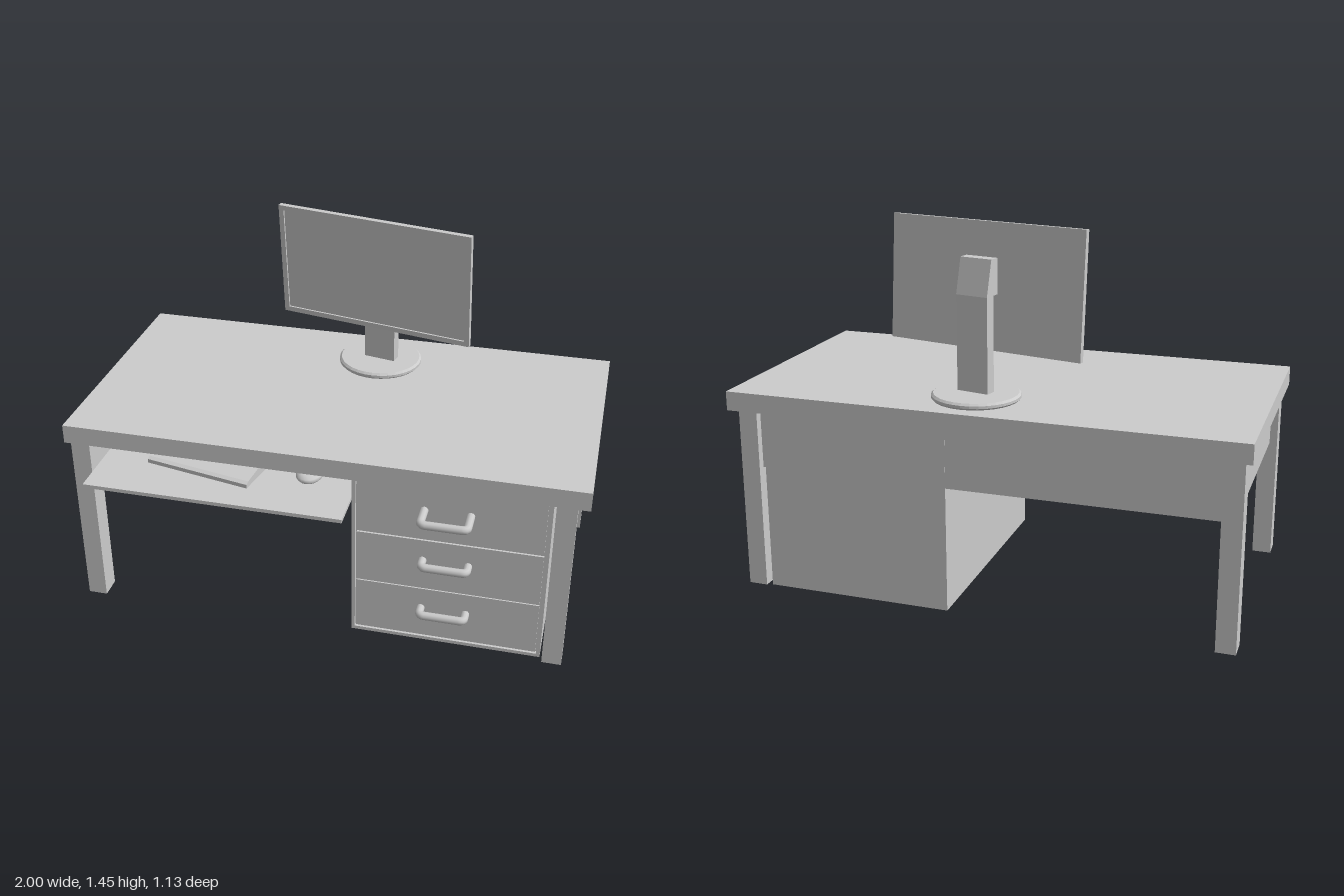
import * as THREE from 'three';

const material = new THREE.MeshStandardMaterial({ color: 0xcccccc, flatShading: true });
const smooth = new THREE.MeshStandardMaterial({ color: 0xcccccc });

function add(parent, name, geometry, mat = material) {
  const mesh = new THREE.Mesh(geometry, mat);
  mesh.name = name;
  parent.add(mesh);
  return mesh;
}

// Box given by its limits on each axis
function block(parent, name, [x0, x1], [y0, y1], [z0, z1]) {
  const mesh = add(parent, name, new THREE.BoxGeometry(x1 - x0, y1 - y0, z1 - z0));
  mesh.position.set((x0 + x1) / 2, (y0 + y1) / 2, (z0 + z1) / 2);
  return mesh;
}

// Rectangular frame in the xy plane, extruded along +z
function frameGeometry(w, h, border, depth) {
  const rect = (path, a, b) => path.moveTo(-a, -b).lineTo(a, -b).lineTo(a, b).lineTo(-a, b).closePath();
  const shape = rect(new THREE.Shape(), w / 2, h / 2);
  shape.holes.push(rect(new THREE.Path(), w / 2 - border, h / 2 - border));
  return new THREE.ExtrudeGeometry(shape, { depth, bevelEnabled: false });
}

// Profile in (z, y), extruded symmetrically across x
function sideProfile(points, width) {
  const shape = new THREE.Shape(points.map(([z, y]) => new THREE.Vector2(z, y)));
  const geometry = new THREE.ExtrudeGeometry(shape, { depth: width, bevelEnabled: false });
  return geometry.translate(0, 0, -width / 2).rotateY(-Math.PI / 2);
}

// Rounded pull bar with two posts
function drawerHandle(parent, y, backZ, barZ) {
  const a = 0.087, r = 0.02;
  const v = (x, z) => new THREE.Vector3(0.487 + x, y, z);
  const path = new THREE.CurvePath();
  path.add(new THREE.LineCurve3(v(-a, backZ), v(-a, barZ - r)));
  path.add(new THREE.QuadraticBezierCurve3(v(-a, barZ - r), v(-a, barZ), v(-a + r, barZ)));
  path.add(new THREE.LineCurve3(v(-a + r, barZ), v(a - r, barZ)));
  path.add(new THREE.QuadraticBezierCurve3(v(a - r, barZ), v(a, barZ), v(a, barZ - r)));
  path.add(new THREE.LineCurve3(v(a, barZ - r), v(a, backZ)));
  add(parent, 'drawerHandle', new THREE.TubeGeometry(path, 48, 0.016, 10), smooth);
}

function createDesk() {
  const desk = new THREE.Group();
  desk.name = 'desk';
  block(desk, 'desktop', [-1, 1], [0.725, 0.8], [-0.565, 0.47]);
  for (const x of [-0.975, 0.88]) {
    for (const z of [-0.555, 0.38]) {
      block(desk, 'leg', [x, x + 0.075], [0.01, 0.725], [z, z + 0.085]);
    }
  }
  block(desk, 'sideApron', [-0.945, -0.905], [0.495, 0.725], [-0.47, 0.38]);
  block(desk, 'sideApron', [0.885, 0.925], [0.495, 0.725], [-0.47, 0.38]);
  block(desk, 'backApron', [-0.9, 0.88], [0.495, 0.725], [-0.526, -0.49]);
  block(desk, 'keyboardTray', [-0.895, 0.12], [0.595, 0.61], [-0.25, 0.565]);
  return desk;
}

function createCabinet() {
  const cabinet = new THREE.Group();
  cabinet.name = 'drawerCabinet';
  block(cabinet, 'cabinetBody', [0.125, 0.87], [0, 0.725], [-0.527, 0.412]);
  add(cabinet, 'cabinetFrame', frameGeometry(0.745, 0.725, 0.014, 0.016)).position.set(0.4975, 0.3625, 0.411);
  // Top drawer pull stands further out
  [0.152, 0.378, 0.605].forEach((y, i) => {
    block(cabinet, 'drawerFront', [0.144, 0.851], [y - 0.132 + i * 0.0005, y + 0.09], [0.405, 0.424]);
    drawerHandle(cabinet, y, 0.42, i === 2 ? 0.52 : 0.472);
  });
  return cabinet;
}

function createMonitor() {
  const monitor = new THREE.Group();
  monitor.name = 'monitor';

  // Round foot with a softened rim
  const profile = [[0, 0], [0.163, 0], [0.17, 0.007], [0.17, 0.017], [0.162, 0.025], [0, 0.025]];
  const foot = add(monitor, 'standFoot',
    new THREE.LatheGeometry(profile.map(([r, y]) => new THREE.Vector2(r, y)), 32));
  foot.position.set(0.065, 0.8, -0.345);

  // Column with a head reaching forward to the panel
  const column = add(monitor, 'standColumn', sideProfile([
    [-0.045, 0.82], [0, 0.82], [0, 1.19], [0.03, 1.19],
    [0.03, 1.325], [-0.012, 1.325], [-0.045, 1.19],
  ], 0.132));
  column.position.set(0.065, 0, -0.318);
  column.rotation.y = -0.205;

  // Tilted panel with raised bezel
  const panel = new THREE.Group();
  panel.name = 'panel';
  panel.rotation.set(0.073, -0.205, 0, 'YXZ');
  panel.position.set(0.048, 1.215, -0.28);
  add(panel, 'screen', new THREE.BoxGeometry(0.82, 0.476, 0.014)).position.z = -0.003;
  add(panel, 'bezel', frameGeometry(0.82, 0.476, 0.021, 0.008)).position.z = 0.003;
  monitor.add(panel);
  return monitor;
}

function createAccessories() {
  const accessories = new THREE.Group();
  accessories.name = 'accessories';

  // Wedge keyboard, higher at the back
  const keyboard = add(accessories, 'keyboard', sideProfile([
    [-0.1, 0], [0.1, 0], [0.1, 0.016], [0.085, 0.023], [-0.088, 0.05], [-0.1, 0.045],
  ], 0.44));
  keyboard.position.set(-0.475, 0.61, 0.305);
  keyboard.rotation.y = -0.2;

  // Low domed mouse
  const dome = [[0.05, 0], [0.055, 0.008], [0.053, 0.02], [0.04, 0.03], [0, 0.035]];
  const mouse = add(accessories, 'mouse',
    new THREE.LatheGeometry(dome.map(([r, y]) => new THREE.Vector2(r, y)), 20), smooth);
  mouse.scale.z = 1.5;
  mouse.position.set(-0.07, 0.61, 0.29);
  return accessories;
}

export function createModel() {
  const model = new THREE.Group();
  model.name = 'workstation';
  model.add(createDesk(), createCabinet(), createMonitor(), createAccessories());
  return model;
}
